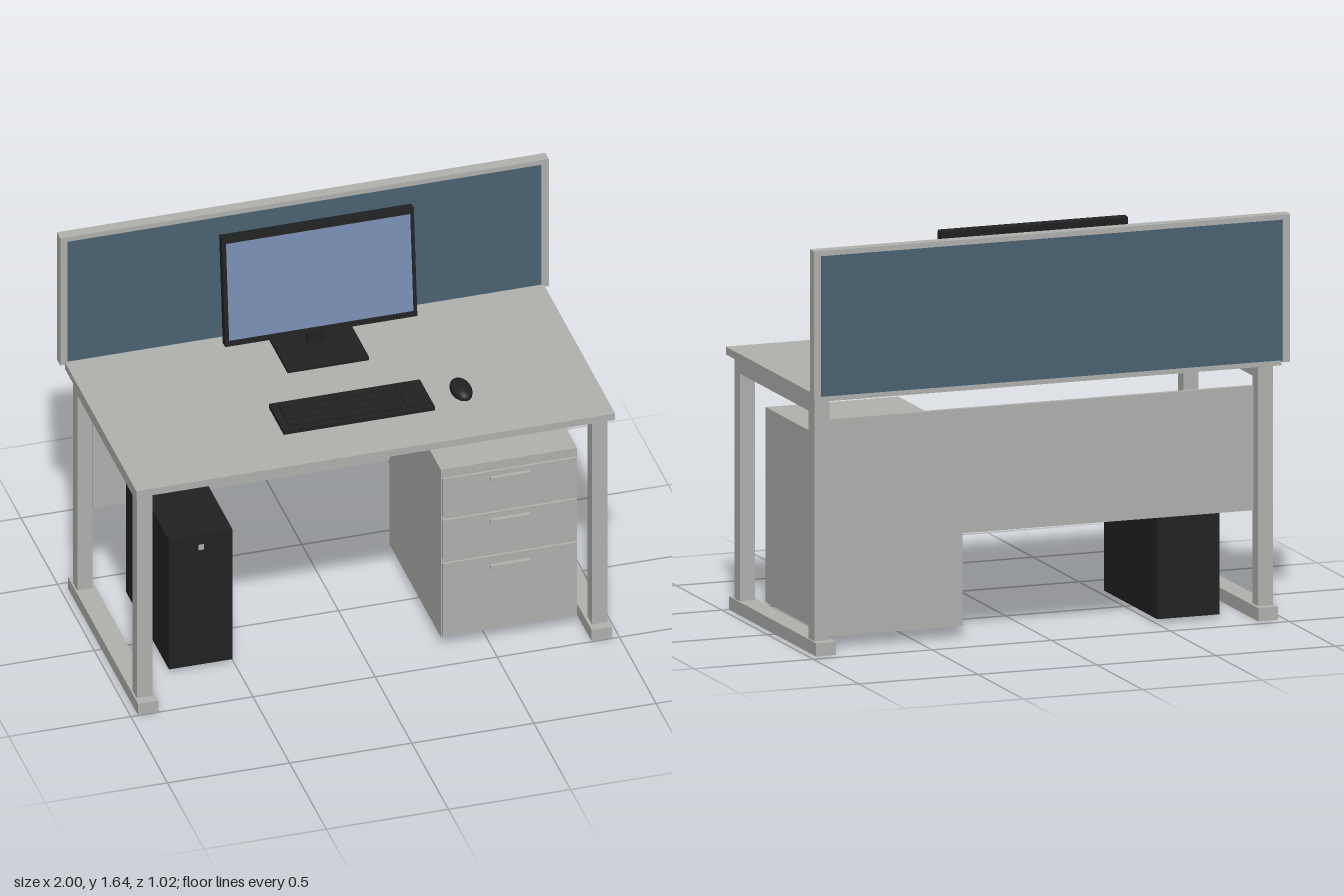
import * as THREE from 'three';

export function createModel() {
  const model = new THREE.Group();
  model.name = 'officeDesk';
  const material = (name, color) => {
    const m = new THREE.MeshStandardMaterial({ color });
    m.name = name;
    return m;
  };
  const grey = material('light grey', 0xb2b2af);
  const black = material('black plastic', 0x222222);
  const blue = material('blue fabric', 0x4a6273);
  const glass = material('screen blue', 0x788db2);

  // Box given by its lower and upper limits on each axis
  const box = (name, mat, [x0, x1], [y0, y1], [z0, z1], parent = model) => {
    const mesh = new THREE.Mesh(new THREE.BoxGeometry(x1 - x0, y1 - y0, z1 - z0), mat);
    mesh.position.set((x0 + x1) / 2, (y0 + y1) / 2, (z0 + z1) / 2);
    mesh.name = name;
    parent.add(mesh);
    return mesh;
  };
  const group = (name) => {
    const g = new THREE.Group();
    g.name = name;
    model.add(g);
    return g;
  };

  // Desk top and modesty panel
  box('deskTop', grey, [-0.98, 0.98], [1.022, 1.053], [-0.467, 0.508]);
  box('modestyPanel', grey, [-0.9, 0.9], [0.428, 0.927], [-0.37, -0.35]);

  // Leg frames: foot, two posts and a top beam on each side
  for (const [side, s] of [['left', 1], ['right', -1]]) {
    const frame = group(side + 'LegFrame');
    const span = (a, b) => (s > 0 ? [a, b] : [-b, -a]);
    box('foot', grey, span(0.887, 0.97), [0, 0.053], [-0.455, 0.498], frame);
    box('frontPost', grey, span(0.9, 0.963), [0.053, 0.965], [0.398, 0.459], frame);
    box('backPost', grey, span(0.9, 0.963), [0.053, 0.965], [-0.416, -0.355], frame);
    box('topBeam', grey, span(0.9, 0.963), [0.965, 1.022], [-0.416, 0.459], frame);
  }

  // Fabric divider in a frame
  const divider = group('divider');
  box('dividerPanel', blue, [-0.97, 0.97], [1.05, 1.615], [-0.504, -0.468], divider);
  box('dividerTopRail', grey, [-0.97, 0.97], [1.615, 1.636], [-0.51, -0.463], divider);
  box('dividerLeftRail', grey, [0.97, 1], [1.043, 1.636], [-0.51, -0.463], divider);
  box('dividerRightRail', grey, [-1, -0.97], [1.043, 1.636], [-0.51, -0.463], divider);

  // Drawer pedestal with three fronts and bar handles
  const pedestal = group('drawerPedestal');
  box('pedestalBody', grey, [0.308, 0.865], [0.048, 0.829], [-0.33, 0.371], pedestal);
  for (const [y0, y1, h] of [[0.617, 0.79, 0.761], [0.418, 0.597, 0.564], [0.06, 0.395, 0.351]]) {
    box('drawerFront', grey, [0.313, 0.86], [y0, y1], [0.371, 0.381], pedestal);
    box('drawerHandle', grey, [0.505, 0.669], [h - 0.008, h + 0.008], [0.381, 0.398], pedestal);
  }

  // Computer tower
  const tower = group('computerTower');
  box('towerCase', black, [-0.766, -0.505], [0.016, 0.62], [-0.345, 0.24], tower);
  box('powerButton', grey, [-0.646, -0.624], [0.553, 0.575], [0.24, 0.245], tower);

  // Monitor, leaning back on its stand
  const stand = group('monitorStand');
  box('standBase', black, [-0.167, 0.167], [1.053, 1.067], [-0.386, -0.138], stand);
  box('standPost', black, [-0.036, 0.036], [1.067, 1.333], [-0.325, -0.294], stand);
  const monitor = group('monitor');
  box('monitorCase', black, [-0.393, 0.393], [-0.239, 0.239], [-0.018, 0.018], monitor);
  box('screen', glass, [-0.377, 0.377], [-0.213, 0.213], [0.018, 0.02], monitor);
  monitor.position.set(0, 1.394, -0.276);
  monitor.rotation.x = -0.103;

  // Keyboard with raised key rows and number pad
  const keyboard = group('keyboard');
  box('keyboardBase', black, [-0.31, 0.308], [1.055, 1.074], [0.083, 0.287], keyboard);
  for (let i = 0; i < 4; i++) {
    const z = 0.1 + i * 0.045;
    box('keyRow', black, [-0.28, 0.18], [1.074, 1.084], [z, z + 0.034], keyboard);
  }
  box('numberPad', black, [0.2, 0.285], [1.074, 1.08], [0.1, 0.269], keyboard);

  // Mouse: half ellipsoid with a flat underside
  const mouse = new THREE.Mesh(new THREE.SphereGeometry(1, 24, 10, 0, Math.PI * 2, 0, Math.PI * 0.6), black);
  mouse.scale.set(0.042, 0.033, 0.074);
  mouse.position.set(0.446, 1.063, 0.185);
  mouse.name = 'mouse';
  model.add(mouse);

  return model;
}
